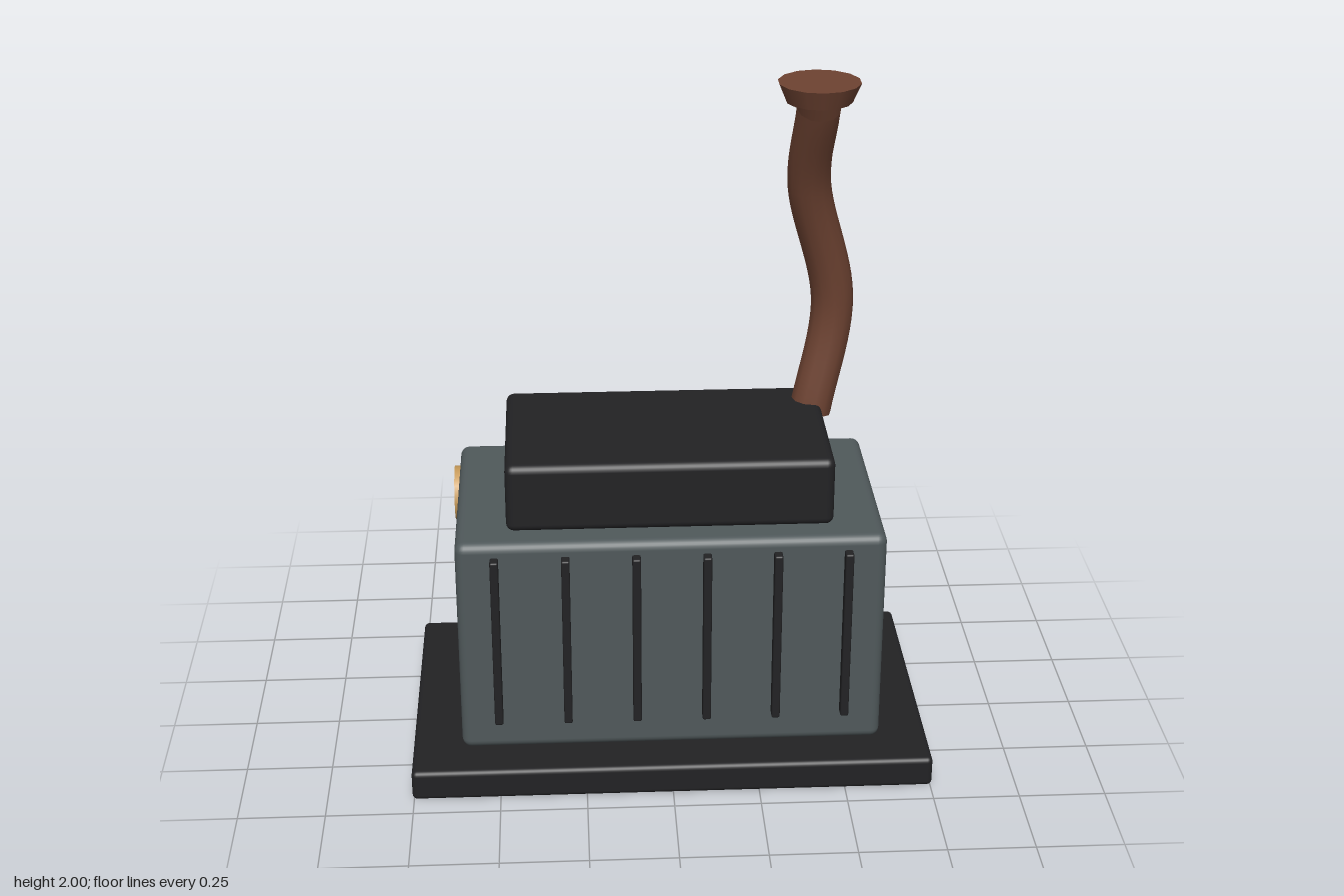
import * as THREE from 'three';
import { RoundedBoxGeometry } from 'three/addons/geometries/RoundedBoxGeometry.js';

const mat = (color, extra = {}) => new THREE.MeshStandardMaterial({ color, ...extra });

export function createModel() {
  const model = new THREE.Group();
  model.name = 'engineBlock';

  const dark = mat(0x222224);
  const steel = mat(0x50595b);
  const rust = mat(0x6e4332, { side: THREE.DoubleSide });
  const brass = mat(0xc79a58);

  const add = (name, geometry, material, x, y, z, parent = model) => {
    const mesh = new THREE.Mesh(geometry, material);
    mesh.name = name;
    mesh.position.set(x, y, z);
    parent.add(mesh);
    return mesh;
  };
  // Rounded box given by its full size and the height of its underside
  const slab = (name, w, h, d, bottom, radius, material) =>
    add(name, new RoundedBoxGeometry(w, h, d, 3, radius), material, 0, bottom + h / 2, 0);

  // Stacked housing
  slab('basePlate', 1.51, 0.092, 0.872, 0.003, 0.015, dark);
  slab('body', 1.22, 0.668, 0.668, 0.107, 0.027, steel);
  slab('topCover', 0.93, 0.205, 0.522, 0.775, 0.023, dark);

  // Upright ribs on the front and back
  const ribs = new THREE.Group();
  ribs.name = 'ribs';
  model.add(ribs);
  const ribGeometry = new RoundedBoxGeometry(0.024, 0.53, 0.06, 2, 0.005);
  for (const side of [1, -1]) {
    for (let i = 0; i < 6; i++) {
      add('rib', ribGeometry, dark, -0.5 + i * 0.2, 0.47, side * 0.335, ribs);
    }
  }

  // Round gauge on the right end
  const gauge = add('gauge', new THREE.CylinderGeometry(0.082, 0.082, 0.04, 18), brass, -0.61, 0.642, -0.268);
  gauge.rotation.z = Math.PI / 2;

  // Bent exhaust pipe with open ends
  const path = new THREE.CatmullRomCurve3([
    new THREE.Vector3(0.438, 0.94, -0.175),
    new THREE.Vector3(0.497, 1.28, -0.2),
    new THREE.Vector3(0.411, 1.67, -0.12),
    new THREE.Vector3(0.418, 1.928, 0),
  ]);
  add('exhaustPipe', new THREE.TubeGeometry(path, 32, 0.062, 12, false), rust, 0, 0, 0);

  // Flared cap above the pipe
  add('exhaustCap', new THREE.CylinderGeometry(0.115, 0.092, 0.054, 14), rust, 0.418, 1.973, 0);

  return model;
}
